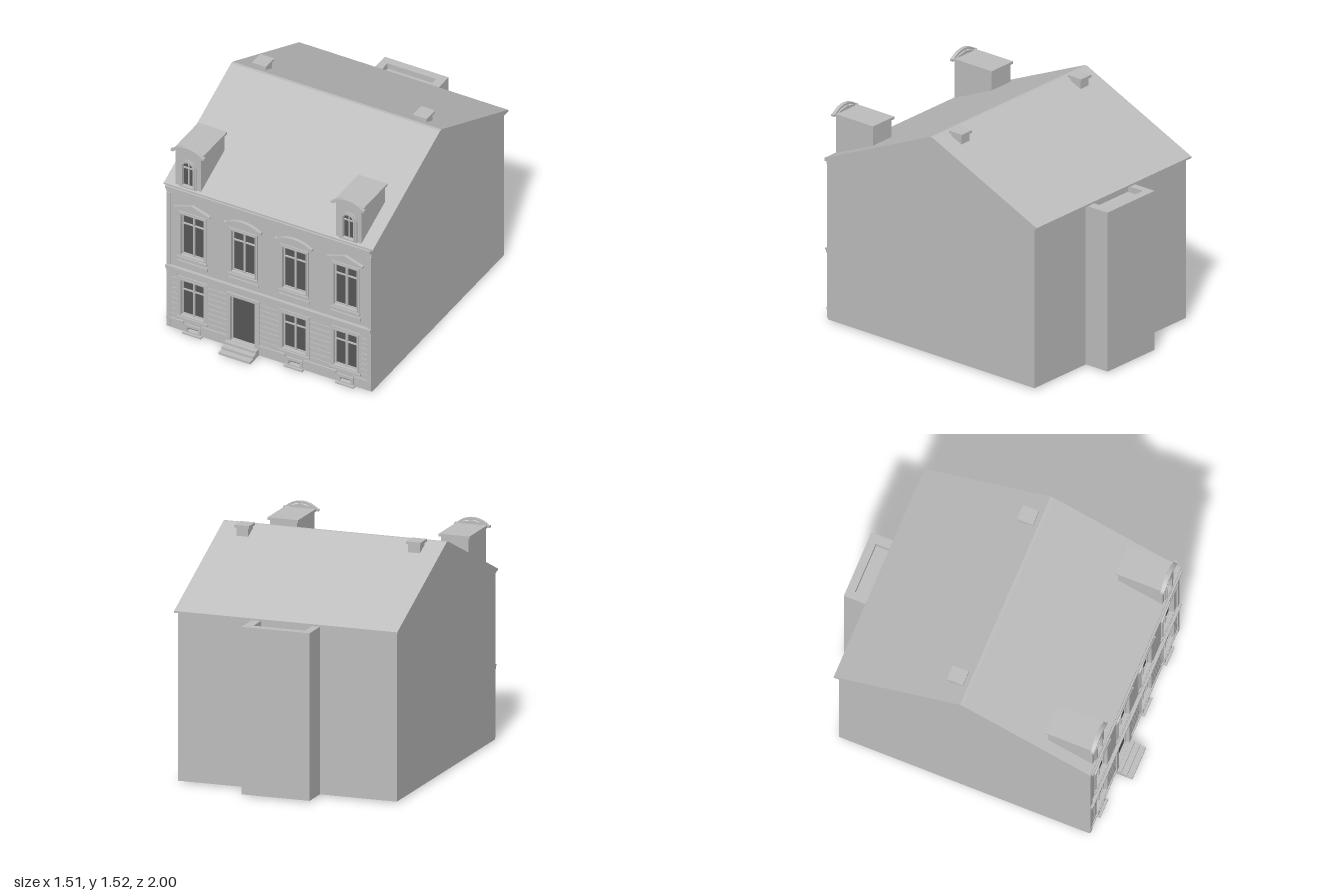
import * as THREE from 'three';

export function createModel() {
  const house = new THREE.Group();
  house.name = 'townHouse';
  const stone = new THREE.MeshStandardMaterial({ color: 0xbdbdbd });
  stone.name = 'stone grey';
  const glass = new THREE.MeshStandardMaterial({ color: 0x565656 });
  glass.name = 'dark glass';

  const add = (name, geo, mat = stone) => {
    const m = new THREE.Mesh(geo, mat);
    m.name = name;
    house.add(m);
    return m;
  };
  // box from its min and max corners
  const box = (name, x0, x1, y0, y1, z0, z1, mat) =>
    add(name, new THREE.BoxGeometry(x1 - x0, y1 - y0, z1 - z0)
      .translate((x0 + x1) / 2, (y0 + y1) / 2, (z0 + z1) / 2), mat);
  const poly = (pts) => new THREE.Shape(pts.map(([x, y]) => new THREE.Vector2(x, y)));
  const rect = (x0, x1, y0, y1) => poly([[x0, y0], [x1, y0], [x1, y1], [x0, y1]]);
  // round-headed opening
  const archway = (cx, hw, y0, top) => {
    const s = new THREE.Shape();
    s.moveTo(cx - hw, y0);
    s.lineTo(cx + hw, y0);
    s.lineTo(cx + hw, top - hw);
    s.absarc(cx, top - hw, hw, 0, Math.PI, false);
    s.closePath();
    return s;
  };
  const slab = (name, shape, z0, z1, holes = [], mat = stone) => {
    shape.holes.push(...holes);
    return add(name, new THREE.ExtrudeGeometry(shape, { depth: z1 - z0, bevelEnabled: false, curveSegments: 14 })
      .translate(0, 0, z0), mat);
  };
  // curved hood moulding: segmental band with short level ends
  const hood = (name, cx, hw, top, rise, t, z0, z1) => {
    const w = hw - 0.012, R = (w * w + rise * rise) / (2 * rise), a = Math.asin((R - rise) / R);
    const s = new THREE.Shape();
    s.absarc(cx, top - R, R, a, Math.PI - a, false);
    s.absarc(cx, top - R, R - t, Math.PI - a, a, true);
    s.closePath();
    slab(name, s, z0, z1);
    for (const k of [-1, 1]) {
      const x = cx + k * (w + 0.002);
      box(name + 'End', x - 0.01, x + 0.01, top - rise - t, top - rise, z0, z1 - 0.001);
    }
  };

  const F = 0.885; // facade plane
  const upperX = [-0.552, -0.186, 0.182, 0.552];
  const lowerX = [-0.552, 0.182, 0.552];
  const ventX = [-0.55, 0.183, 0.553];

  // main block, base plate and pierced facade
  box('basePlate', -0.68, 0.68, 0, 0.02, -0.76, 0.82);
  box('walls', -0.74, 0.74, 0.01, 1.11, -0.82, 0.86);
  const openings = [
    ...upperX.map((x) => [x - 0.084, x + 0.084, 0.6, 0.915]),
    ...lowerX.map((x) => [x - 0.084, x + 0.084, 0.135, 0.405]),
    [-0.277, -0.1, 0.065, 0.405],
    ...ventX.map((x) => [x - 0.038, x + 0.038, 0.026, 0.055]),
  ];
  slab('facade', rect(-0.74, 0.74, 0.01, 1.11), 0.86, F, openings.map((o) => rect(...o)));
  openings.forEach((o) => box('glazing', ...o, 0.858, 0.864, glass));

  // gable roof
  add('roof', new THREE.ExtrudeGeometry(
    poly([[-0.85, 1.108], [0.9, 1.108], [0.9, 1.12], [0.03, 1.503], [0.01, 1.503], [-0.85, 1.12]]),
    { depth: 1.51, bevelEnabled: false }).rotateY(-Math.PI / 2).translate(0.755, 0, 0));

  // rear projection with sunken top
  box('rearBay', -0.22, 0.24, 0.01, 1.06, -1, -0.82);
  box('rearBayRim', -0.22, 0.24, 1.06, 1.1, -1, -0.945);
  box('rearBayRim', -0.22, -0.17, 1.06, 1.1, -0.945, -0.82);
  box('rearBayRim', 0.18, 0.24, 1.06, 1.1, -0.945, -0.82);

  // chimneys
  for (const x of [-0.582, 0.58]) {
    box('chimney', x - 0.04, x + 0.04, 1.4, 1.505, -0.115, -0.032);
    box('chimneyCap', x - 0.05, x + 0.05, 1.503, 1.52, -0.128, -0.02);
  }

  // glazing bars: one upright and one transom
  const bars = (x0, x1, y0, y1, yt, z) => {
    const c = (x0 + x1) / 2;
    box('mullion', c - 0.006, c + 0.006, y0, y1, z, z + 0.012);
    box('transom', x0, x1, yt - 0.004, yt + 0.004, z, z + 0.01);
    for (const x of [x0, x1 - 0.007]) box('sash', x, x + 0.007, y0, y1, z, z + 0.009);
    for (const y of [y0, y1 - 0.007]) box('sash', x0, x1, y, y + 0.007, z, z + 0.008);
  };
  // stepped casing around an opening
  const casing = (x0, x1, y0, y1, w) => {
    slab('casing', rect(x0 - w, x1 + w, y0 - 0.014, y1 + w), F - 0.002, F + 0.008, [rect(x0, x1, y0, y1)]);
    slab('casingBead', rect(x0 - w * 0.45, x1 + w * 0.45, y0 - 0.007, y1 + w * 0.45),
      F, F + 0.012, [rect(x0, x1, y0, y1)]);
  };

  // upper windows with alternating pediments
  upperX.forEach((x, i) => {
    casing(x - 0.084, x + 0.084, 0.6, 0.915, 0.018);
    bars(x - 0.084, x + 0.084, 0.6, 0.915, 0.835, 0.864);
    box('sill', x - 0.105, x + 0.105, 0.577, 0.589, F, F + 0.018);
    box('apron', x - 0.108, x + 0.108, 0.527, 0.551, F, F + 0.01);
    if (i === 0 || i === 3) {
      slab('pediment', poly([[x - 0.13, 0.953], [x - 0.115, 0.953], [x, 0.992], [x + 0.115, 0.953],
        [x + 0.13, 0.953], [x + 0.13, 0.964], [x, 1.008], [x - 0.13, 0.964]]), F, F + 0.022);
    } else {
      hood('archedPediment', x, 0.135, 1.008, 0.036, 0.014, F, F + 0.022);
    }
  });

  // ground-floor windows
  for (const x of lowerX) {
    casing(x - 0.084, x + 0.084, 0.135, 0.405, 0.025);
    bars(x - 0.084, x + 0.084, 0.135, 0.405, 0.325, 0.864);
    box('sill', x - 0.112, x + 0.112, 0.112, 0.125, F, F + 0.018);
  }

  // door surround and steps
  slab('doorCasing', rect(-0.305, -0.07, 0.06, 0.428), F - 0.002, F + 0.012, [rect(-0.277, -0.1, 0.065, 0.405)]);
  slab('doorFrame', rect(-0.277, -0.1, 0.065, 0.405), 0.864, 0.874, [rect(-0.27, -0.107, 0.068, 0.398)]);
  [[0.062, 0.925], [0.045, 0.962], [0.027, 1]].forEach(([y, z]) => box('step', -0.303, -0.075, 0.01, y, 0.86, z));

  // basement vents
  for (const x of ventX) {
    slab('ventCasing', rect(x - 0.056, x + 0.056, 0.018, 0.075), F, F + 0.01, [rect(x - 0.038, x + 0.038, 0.026, 0.055)]);
    box('ventSill', x - 0.067, x + 0.067, 0.006, 0.018, F - 0.01, F + 0.025);
  }

  // plinth ledge between vents and door
  [[-0.74, -0.617], [-0.48, -0.305], [-0.07, 0.115], [0.253, 0.485], [0.622, 0.74]]
    .forEach(([a, b]) => box('plinthLedge', a, b, 0.076, 0.091, F, F + 0.012));

  // rusticated courses, interrupted by windows and door
  const gaps = [[-0.66, -0.444], [-0.305, -0.07], [0.074, 0.29], [0.444, 0.66]];
  const edges = [-0.71, ...gaps.flat(), 0.71];
  for (let r = 0; r < 9; r++) {
    const y = 0.094 + r * 0.0395;
    for (let i = 0; i < edges.length; i += 2) {
      box('rusticCourse', edges[i], edges[i + 1], y, y + 0.034, F, F + 0.005);
    }
  }

  // corner strips, string course and cornice
  for (const k of [-1, 1]) {
    const [a, b] = k < 0 ? [-0.74, -0.71] : [0.71, 0.74];
    box('cornerStrip', a, b, 0.02, 0.45, F, F + 0.009);
    box('cornerStrip', a, b, 0.495, 1.05, F, F + 0.009);
  }
  [[0.448, 0.466, 0.01], [0.466, 0.482, 0.016], [0.482, 0.496, 0.024]]
    .forEach(([a, b, d]) => box('stringCourse', -0.74, 0.74, a, b, F, F + d));
  [[1.052, 1.072, 0.008], [1.072, 1.09, 0.014], [1.09, 1.109, 0.028]]
    .forEach(([a, b, d]) => box('cornice', -0.74, 0.74, a, b, F, F + d));

  // dormers
  for (const x of [-0.587, 0.571]) {
    box('dormerBody', x - 0.092, x + 0.092, 1.11, 1.385, 0.58, 0.868);
    slab('dormerFront', rect(x - 0.092, x + 0.092, 1.11, 1.385), 0.868, 0.884, [archway(x, 0.038, 1.14, 1.322)]);
    slab('dormerGlass', archway(x, 0.038, 1.14, 1.322), 0.867, 0.871, [], glass);
    slab('dormerCasing', archway(x, 0.063, 1.125, 1.342), 0.884, 0.892, [archway(x, 0.038, 1.14, 1.322)]);
    slab('dormerBead', archway(x, 0.05, 1.13, 1.332), 0.884, 0.897, [archway(x, 0.038, 1.14, 1.322)]);
    box('dormerMullion', x - 0.004, x + 0.004, 1.14, 1.32, 0.871, 0.88);
    box('dormerTransom', x - 0.038, x + 0.038, 1.268, 1.276, 0.871, 0.879);
    box('dormerRoof', x - 0.104, x + 0.104, 1.383, 1.4, 0.568, 0.882);
    slab('dormerTympanum', poly([[x - 0.09, 1.38], [x + 0.09, 1.38], [x + 0.07, 1.41], [x, 1.425], [x - 0.07, 1.41]]), 0.87, 0.884);
    hood('dormerHood', x, 0.12, 1.44, 0.042, 0.014, 0.878, 0.902);
  }
  return house;
}
